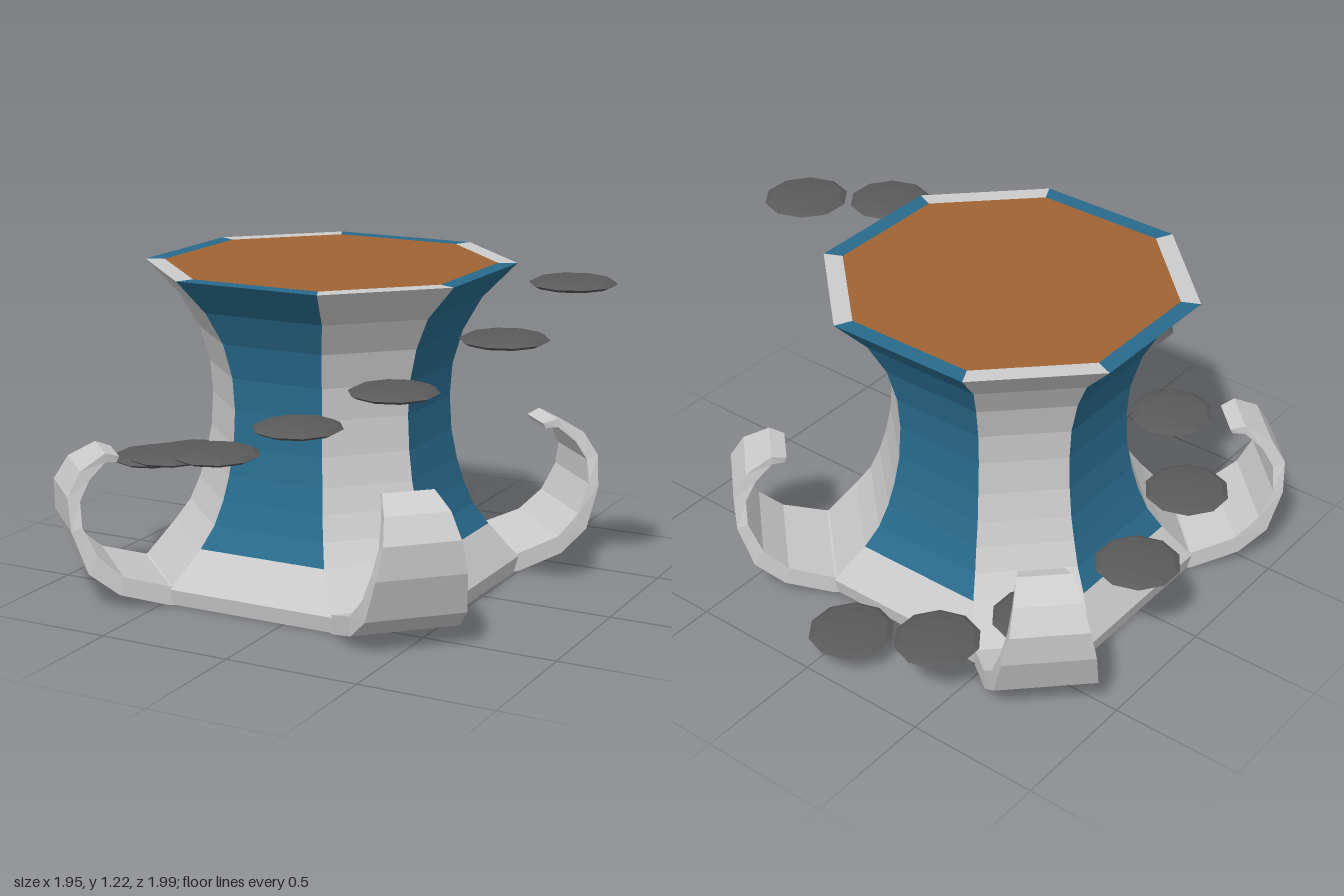
import * as THREE from 'three';

const paint = (color) => new THREE.MeshStandardMaterial({ color, flatShading: true });

// Joins closed rings of points with quads; 'sides' picks which strips are built
function loft(rings, { sides, startCap = false, endCap = false } = {}) {
  const pos = [];
  const n = rings[0].length;
  const tri = (a, b, c) => pos.push(...a, ...b, ...c);
  for (let i = 0; i + 1 < rings.length; i++) {
    for (let j = 0; j < n; j++) {
      if (sides && !sides(j)) continue;
      const k = (j + 1) % n;
      const [a, b, c, d] = [rings[i][j], rings[i][k], rings[i + 1][k], rings[i + 1][j]];
      tri(a, b, c);
      tri(a, c, d);
    }
  }
  const first = rings[0], last = rings[rings.length - 1];
  for (let j = 1; j + 1 < n; j++) {
    if (startCap) tri(first[0], first[j + 1], first[j]);
    if (endCap) tri(last[0], last[j], last[j + 1]);
  }
  const g = new THREE.BufferGeometry();
  g.setAttribute('position', new THREE.Float32BufferAttribute(pos, 3));
  g.computeVertexNormals();
  return g;
}

// Octagon with flat-side distance a and half side length c
const octagon = (y, a, c) => [
  [-c, y, a], [c, y, a], [a, y, c], [a, y, -c],
  [c, y, -a], [-c, y, -a], [-a, y, -c], [-a, y, c],
];

export function createModel() {
  const root = new THREE.Group();
  root.name = 'tower';
  const grey = paint(0xcccccc), blue = paint(0x296b8d);
  const brown = paint(0xa06433), stone = paint(0x5a5a5a);
  const add = (parent, name, geometry, material) => {
    const mesh = new THREE.Mesh(geometry, material);
    mesh.name = name;
    parent.add(mesh);
    return mesh;
  };

  const body = new THREE.Group();
  body.name = 'towerBody';
  body.position.set(-0.133, 0, -0.003);
  body.scale.z = 0.98;
  root.add(body);

  // Waisted wall, ending in the flat rim
  const wall = [
    [0.2, 0.54, 0.255], [0.28, 0.49, 0.225], [0.37, 0.457, 0.205], [0.46, 0.433, 0.193],
    [0.57, 0.415, 0.182], [0.7, 0.408, 0.179], [0.82, 0.416, 0.183], [0.95, 0.45, 0.2],
    [1.07, 0.51, 0.235], [1.2, 0.63, 0.28], [1.2, 0.565, 0.25],
  ].map((p) => octagon(...p));
  add(body, 'bluePanels', loft(wall, { sides: (j) => j % 2 === 0 }), blue);
  add(body, 'cornerPanels', loft(wall, { sides: (j) => j % 2 === 1 }), grey);

  // Top floor
  add(body, 'topFloor', loft([octagon(1.2, 0.565, 0.25)], { endCap: true }), brown);

  // Sloping base
  const base = [[0, 0.62, 0.333], [0.06, 0.632, 0.333], [0.2, 0.54, 0.255]];
  add(body, 'base', loft(base.map((p) => octagon(...p)), { startCap: true }), grey);

  // Curling corner legs: width, outer radius and height, inner radius and height
  const legRings = [
    [0.42, 0.6, 0.0, 0.6, 0.09],
    [0.42, 0.685, 0.0, 0.68, 0.07],
    [0.4, 0.866, 0.053, 0.85, 0.12],
    [0.37, 0.975, 0.137, 0.94, 0.2],
    [0.33, 1.03, 0.295, 0.99, 0.31],
    [0.28, 1.035, 0.416, 0.99, 0.4],
    [0.24, 0.983, 0.505, 0.95, 0.47],
    [0.19, 0.885, 0.558, 0.885, 0.525],
    [0.16, 0.83, 0.54, 0.84, 0.52],
  ].map(([w, ro, yo, ri, yi]) => [
    [-w / 2, yo, ro], [w / 2, yo, ro], [w / 2, yi, ri], [-w / 2, yi, ri],
  ]);
  const legGeometry = loft(legRings, { startCap: true, endCap: true });
  ['frontLeftLeg', 'backLeftLeg', 'backRightLeg', 'frontRightLeg'].forEach((name, i) => {
    add(body, name, legGeometry, grey).rotation.y = Math.PI / 4 + (i * Math.PI) / 2;
  });

  // Floating stones winding up around the tower
  const stoneGeometry = new THREE.SphereGeometry(0.155, 10, 6);
  stoneGeometry.rotateY(Math.PI / 10).scale(1, 0.15, 1.02);
  [
    [-0.075, 0.105, -0.84], [-0.42, 0.205, -0.775], [-0.69, 0.31, -0.565],
    [-0.83, 0.355, -0.15], [-0.78, 0.43, 0.23], [-0.535, 0.528, 0.49],
    [-0.175, 0.64, 0.755], [0.195, 0.797, 0.838], [0.48, 0.92, 0.695],
    [0.73, 1.06, 0.365], [0.826, 1.2, -0.005],
  ].forEach((p, i) => {
    add(root, `steppingStone${i + 1}`, stoneGeometry, stone).position.set(...p);
  });

  return root;
}
